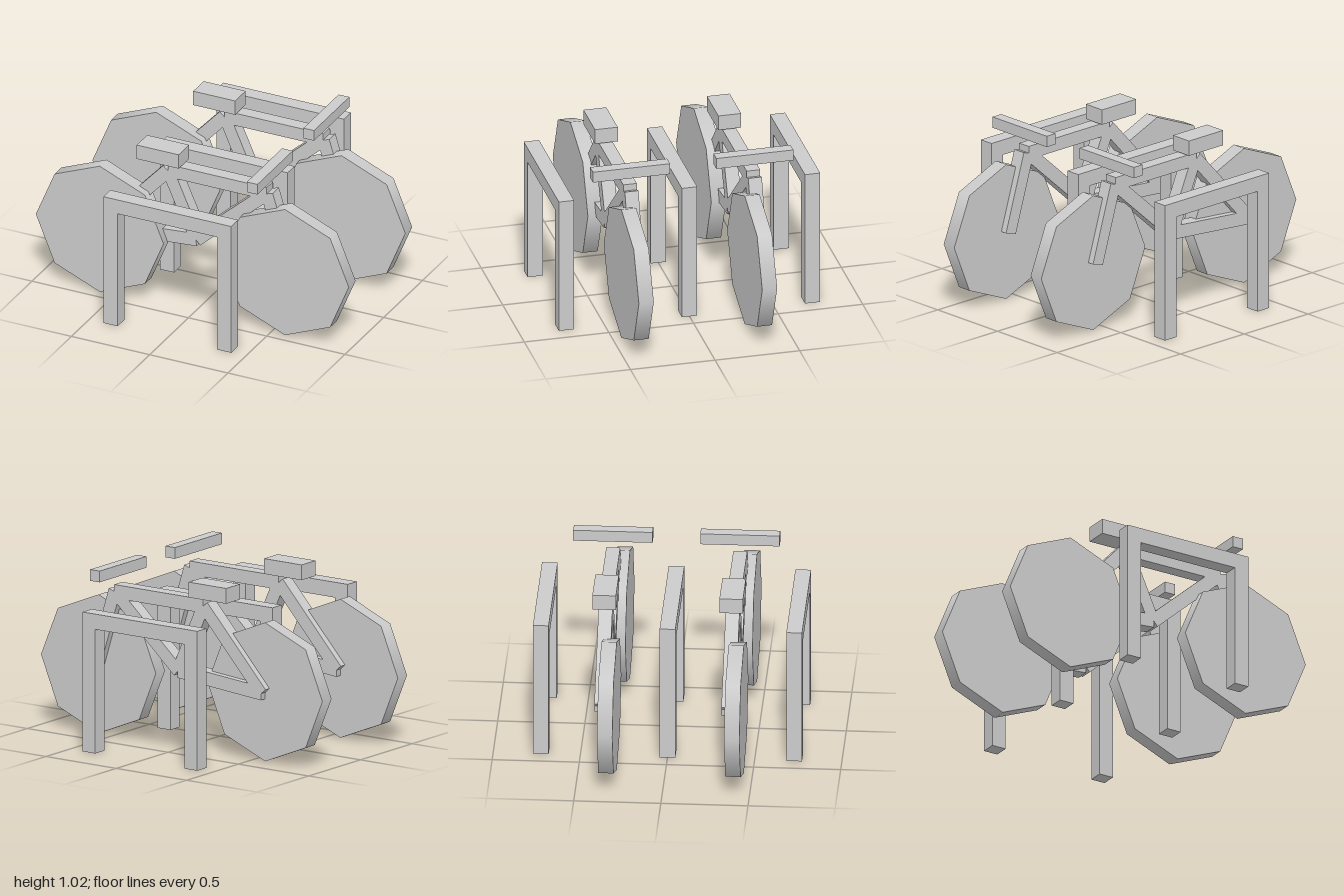
import * as THREE from 'three';

const material = new THREE.MeshStandardMaterial({ color: 0xcccccc });

function part(name, geometry, x, y, z = 0) {
  const mesh = new THREE.Mesh(geometry, material);
  mesh.name = name;
  mesh.position.set(x, y, z);
  return mesh;
}

// Square bar between two points in the bike's plane
function bar(name, [x1, y1], [x2, y2], size = 0.08) {
  const length = Math.hypot(x2 - x1, y2 - y1);
  const mesh = part(name, new THREE.BoxGeometry(length, size, size), (x1 + x2) / 2, (y1 + y2) / 2);
  mesh.rotation.z = Math.atan2(y2 - y1, x2 - x1);
  return mesh;
}

function createBike() {
  const bike = new THREE.Group();
  bike.name = 'bike';

  // Frame joints
  const rearAxle = [-0.594, 0.41];
  const frontAxle = [0.592, 0.41];
  const crank = [0, 0.46];
  const seatJoint = [-0.18, 0.866];
  const headJoint = [0.452, 0.866];
  bike.add(
    bar('topTube', seatJoint, headJoint),
    bar('seatTube', crank, seatJoint),
    bar('downTube', crank, headJoint),
    bar('chainStay', rearAxle, crank),
    bar('seatStay', rearAxle, seatJoint),
    bar('fork', headJoint, frontAxle)
  );

  // Solid eight-sided wheels, set slightly to one side of the frame
  const wheelGeometry = new THREE.CylinderGeometry(0.408, 0.408, 0.088, 8).rotateX(Math.PI / 2);
  bike.add(
    part('rearWheel', wheelGeometry, -0.592, 0.412, 0.043),
    part('frontWheel', wheelGeometry, 0.592, 0.412, 0.043)
  );

  // Saddle and handlebar
  bike.add(
    part('saddle', new THREE.BoxGeometry(0.268, 0.09, 0.135), -0.231, 0.957),
    part('handlebar', new THREE.BoxGeometry(0.068, 0.066, 0.455), 0.452, 0.992)
  );
  return bike;
}

// Arch-shaped stand: two legs and a crossbar in one outline
function createStand(z) {
  const w = 0.408, h = 0.82, t = 0.09, depth = 0.09;
  const outline = [
    [-w, 0], [-w + t, 0], [-w + t, h - t], [w - t, h - t],
    [w - t, 0], [w, 0], [w, h], [-w, h]
  ].map(([x, y]) => new THREE.Vector2(x, y));
  const geometry = new THREE.ExtrudeGeometry(new THREE.Shape(outline), { depth, bevelEnabled: false });
  geometry.translate(0, 0, -depth / 2);
  return part('rackStand', geometry, 0, 0, z);
}

export function createModel() {
  const model = new THREE.Group();
  model.name = 'bikeRack';
  for (const z of [-0.727, 0, 0.727]) model.add(createStand(z));
  for (const z of [-0.366, 0.363]) {
    const bike = createBike();
    bike.position.z = z;
    model.add(bike);
  }
  return model;
}
